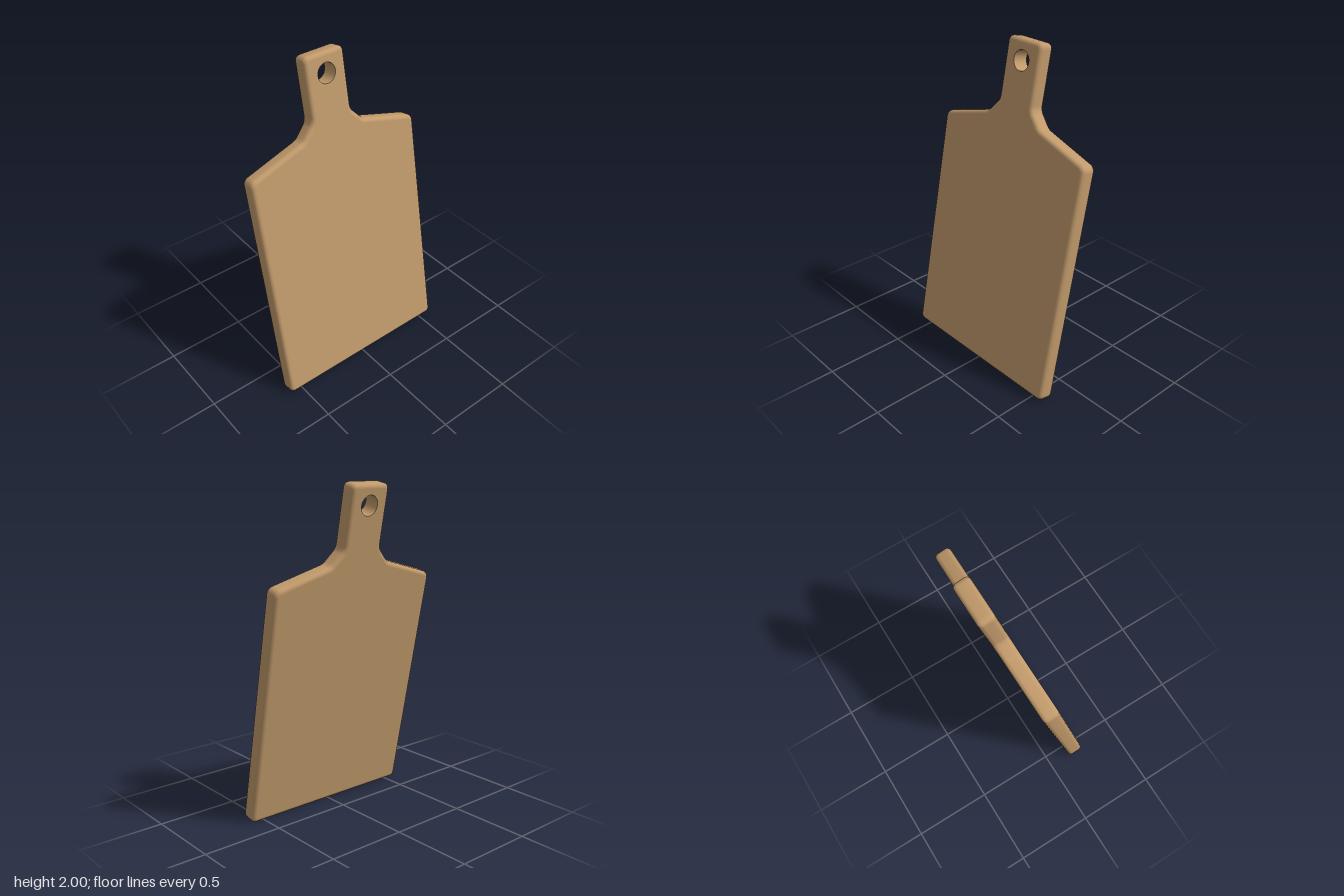
import * as THREE from 'three';
import { toCreasedNormals } from 'three/addons/utils/BufferGeometryUtils.js';

const TILT = 0.197, THICK = 0.1, BEVEL = 0.025;
const HOLE = { y: 0.8925, r: 0.06 };

// Closed outline whose corners are softened by a given cut length
function roundedOutline(corners) {
  const shape = new THREE.Shape();
  const n = corners.length;
  corners.forEach(([x, y, cut], i) => {
    const p = new THREE.Vector2(x, y);
    const toward = ([qx, qy]) =>
      new THREE.Vector2(qx, qy).sub(p).setLength(cut).add(p);
    const a = toward(corners[(i + n - 1) % n]);
    const b = toward(corners[(i + 1) % n]);
    if (i === 0) shape.moveTo(a.x, a.y);
    else shape.lineTo(a.x, a.y);
    shape.quadraticCurveTo(x, y, b.x, b.y);
  });
  shape.closePath();
  return shape;
}

function boardGeometry() {
  // Right half from the bottom up: blade, sloped shoulder, neck flare, handle
  const half = [
    [0.585, -1.014, 0.037],
    [0.585, 0.446, 0.037],
    [0.215, 0.551, 0.02],
    [0.135, 0.637, 0.03],
    [0.135, 1.014, 0.037],
  ];
  const mirrored = half.map(([x, y, c]) => [-x, y, c]).reverse();
  const shape = roundedOutline([...half, ...mirrored]);

  // Hanging hole
  const hole = new THREE.Path();
  hole.absarc(0, HOLE.y, HOLE.r, 0, Math.PI * 2, true);
  shape.holes.push(hole);

  let geo = new THREE.ExtrudeGeometry(shape, {
    depth: THICK - 2 * BEVEL,
    bevelThickness: BEVEL,
    bevelSize: BEVEL,
    bevelOffset: -BEVEL,
    bevelSegments: 5,
    curveSegments: 12,
  });
  geo.translate(0, 0, BEVEL - THICK / 2);

  // Pull the hole's bevel back to a straight, sharp-edged bore
  const pos = geo.attributes.position;
  for (let i = 0; i < pos.count; i++) {
    const x = pos.getX(i), y = pos.getY(i) - HOLE.y;
    const d = Math.hypot(x, y);
    if (d < 0.09) pos.setXY(i, (x / d) * HOLE.r, HOLE.y + (y / d) * HOLE.r);
  }

  const lids = geo.groups[0];
  geo = toCreasedNormals(geo, 0.6);

  // Keep the two broad faces perfectly flat
  for (let i = lids.start; i < lids.start + lids.count; i++) {
    geo.attributes.normal.setXYZ(i, 0, 0, Math.sign(geo.attributes.position.getZ(i)));
  }
  geo.clearGroups();
  return geo;
}

export function createModel() {
  const wood = new THREE.MeshStandardMaterial({ color: 0xc19a6b });
  wood.name = 'wood';

  const board = new THREE.Mesh(boardGeometry(), wood);
  board.name = 'cuttingBoard';
  board.rotation.x = -TILT; // leaning back
  board.position.y = 1;

  const model = new THREE.Group();
  model.name = 'leaningCuttingBoard';
  model.add(board);
  return model;
}
